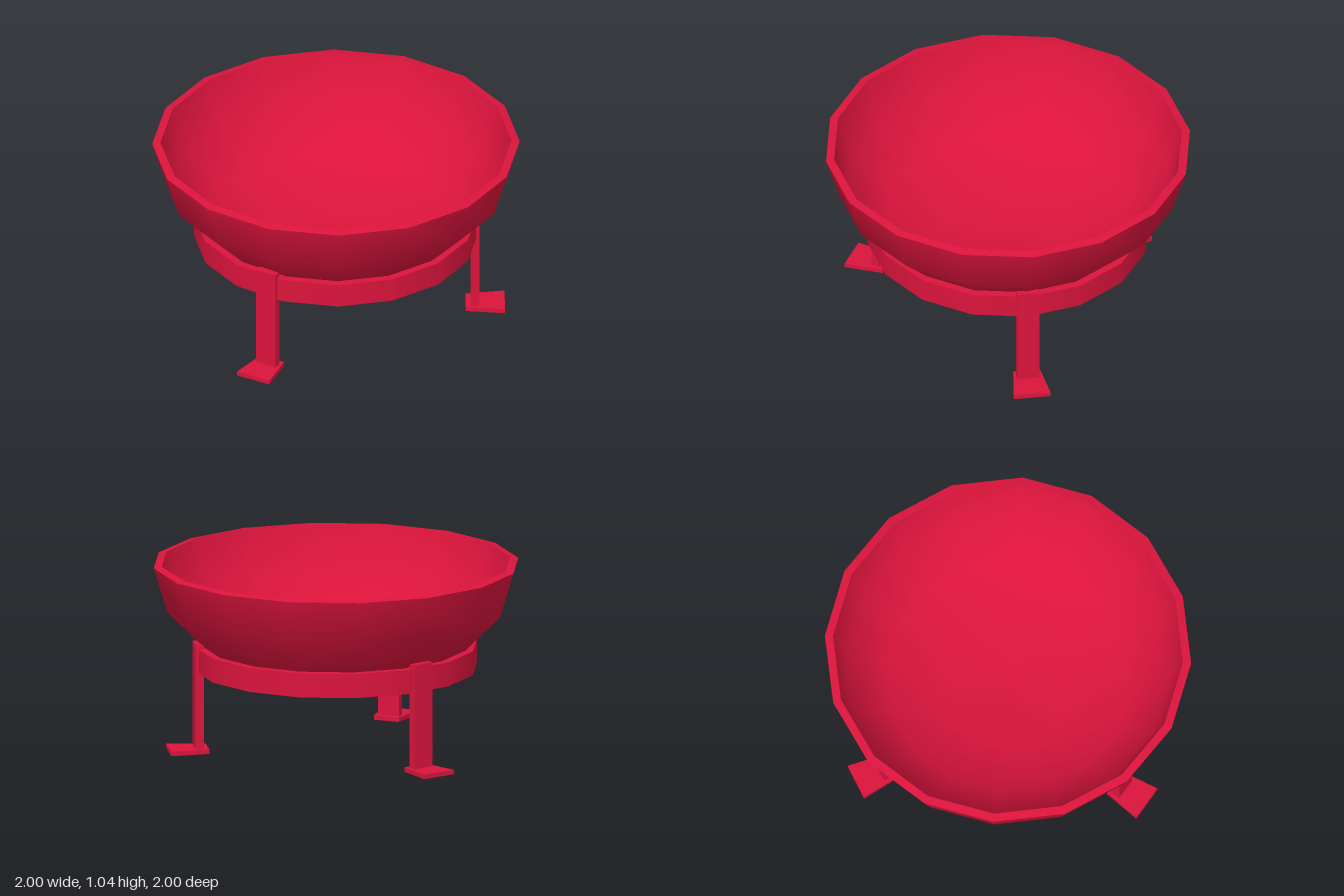
import * as THREE from 'three';

const SIDES = 16;
const TURN = THREE.MathUtils.degToRad(7.2);

export function createModel() {
  const model = new THREE.Group();
  model.name = 'firePit';
  const material = new THREE.MeshStandardMaterial({ color: 0xdc143c });

  const add = (parent, name, geometry) => {
    const mesh = new THREE.Mesh(geometry, material);
    mesh.name = name;
    parent.add(mesh);
    return mesh;
  };
  // One smooth surface of revolution; edges between separate strips stay sharp
  const turned = (parent, name, profile) =>
    add(parent, name, new THREE.LatheGeometry(
      profile.map(([r, y]) => new THREE.Vector2(r, y)), SIDES, TURN));

  // Bowl: outer skin, rim and inner skin
  const outer = [[0, 0.438], [0.383, 0.455], [0.709, 0.56], [0.932, 0.785], [1.007, 1.035]];
  const inner = [[0.962, 1.043], [0.885, 0.795], [0.67, 0.595], [0.365, 0.5], [0, 0.48]];
  const bowl = new THREE.Group();
  bowl.name = 'bowl';
  turned(bowl, 'bowlOutside', outer);
  turned(bowl, 'bowlRim', [outer[outer.length - 1], inner[0]]);
  turned(bowl, 'bowlInside', inner);
  model.add(bowl);

  // Support ring: a closed square section, one strip per face
  const ring = new THREE.Group();
  ring.name = 'supportRing';
  const section = [[0.64, 0.45], [0.778, 0.45], [0.778, 0.585], [0.64, 0.585]];
  const faces = ['ringBottom', 'ringOutside', 'ringTop', 'ringInside'];
  faces.forEach((name, i) => turned(ring, name, [section[i], section[(i + 1) % 4]]));
  model.add(ring);

  // Foot plate: a trapezoid that widens outward, laid flat
  const plate = new THREE.Shape([[-0.074, -0.71], [-0.102, -0.925], [0.102, -0.925], [0.074, -0.71]]
    .map(([x, y]) => new THREE.Vector2(x, y)));
  const footGeometry = new THREE.ExtrudeGeometry(plate, { depth: 0.025, bevelEnabled: false });
  footGeometry.rotateX(-Math.PI / 2);
  const postGeometry = new THREE.BoxGeometry(0.124, 0.59, 0.045);
  postGeometry.translate(0, 0.315, 0.762);

  // Three legs around the ring
  ['frontLeg', 'backLeftLeg', 'backRightLeg'].forEach((name, i) => {
    const leg = new THREE.Group();
    leg.name = name;
    add(leg, 'post', postGeometry);
    add(leg, 'foot', footGeometry);
    leg.rotation.y = (i * Math.PI * 2) / 3;
    if (i === 0) leg.position.x = -0.006;
    model.add(leg);
  });

  return model;
}
